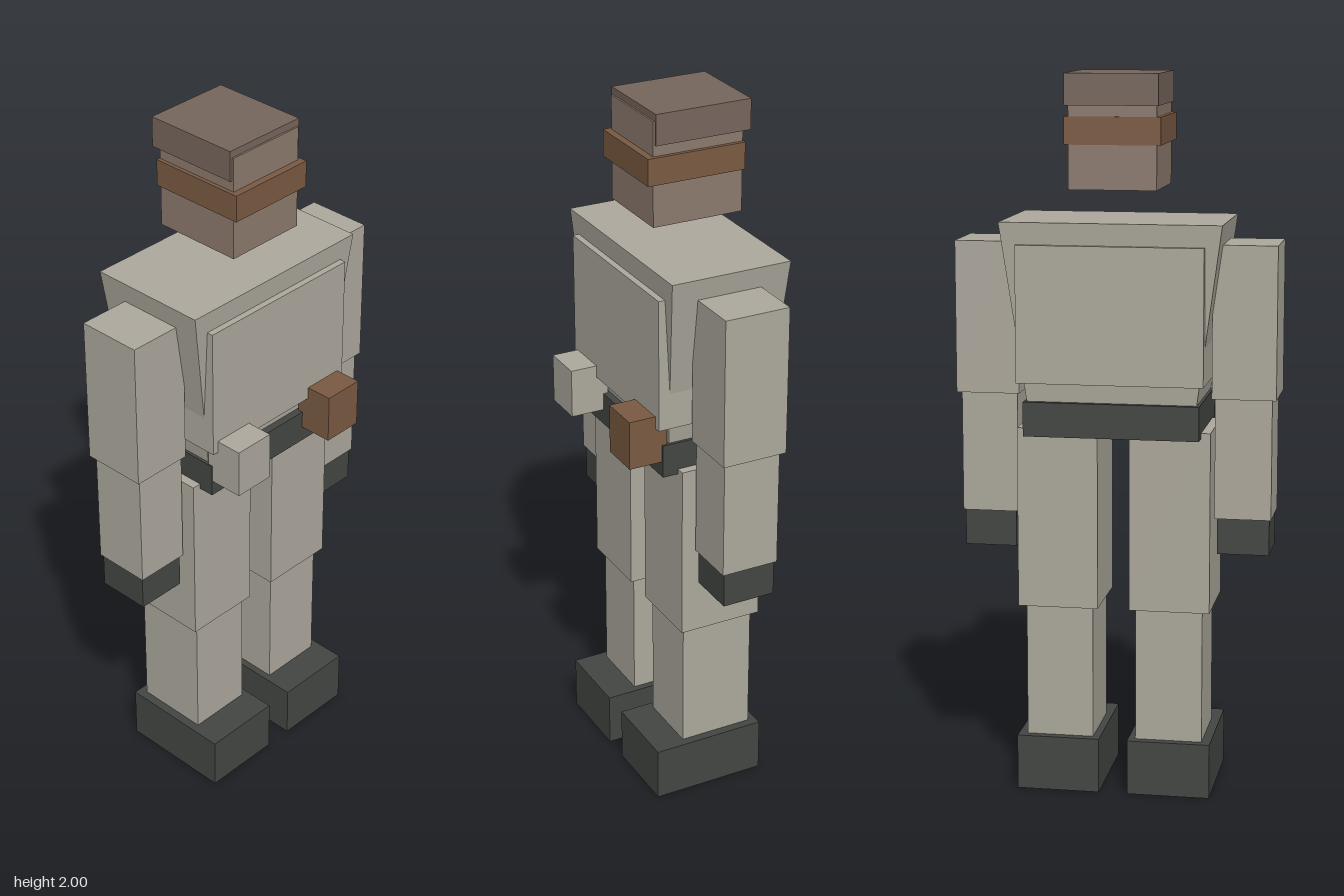
import * as THREE from 'three';

const mat = (color) => new THREE.MeshStandardMaterial({ color, flatShading: true });

export function createModel() {
  const model = new THREE.Group();
  model.name = 'blockSoldier';

  const cloth = mat(0xaca89c);
  const dark = mat(0x434642);
  const skin = mat(0x8c7a6e);
  const cap = mat(0x76665c);
  const leather = mat(0x7a5a42);

  // Box given by its extents on each axis
  function block(name, material, [x0, x1], [y0, y1], [z0, z1], parent = model) {
    const mesh = new THREE.Mesh(new THREE.BoxGeometry(x1 - x0, y1 - y0, z1 - z0), material);
    mesh.position.set((x0 + x1) / 2, (y0 + y1) / 2, (z0 + z1) / 2);
    mesh.name = name;
    parent.add(mesh);
    return mesh;
  }

  // Head, headband and cap, floating above the shoulders
  const head = new THREE.Group();
  head.name = 'head';
  model.add(head);
  block('face', skin, [-0.12, 0.12], [1.69, 1.98], [-0.168, 0.095], head);
  block('headband', leather, [-0.131, 0.131], [1.81, 1.885], [-0.17, 0.115], head);
  block('capTop', cap, [-0.127, 0.127], [1.915, 2], [-0.188, 0.09], head);

  // Torso tapers from wide shoulders to the waist
  const torso = block('torso', cloth, [-0.303, 0.303], [1.06, 1.605], [-0.215, 0.135]);
  const p = torso.geometry.attributes.position;
  for (let i = 0; i < p.count; i++) {
    if (p.getY(i) < 0) p.setXYZ(i, p.getX(i) * 0.745, p.getY(i), p.getZ(i) * 0.83);
  }
  torso.geometry.computeVertexNormals();

  // Vest, belt and belt pouches
  block('vest', cloth, [-0.256, 0.256], [1.17, 1.545], [-0.226, 0.15]);
  block('belt', dark, [-0.242, 0.242], [1.02, 1.115], [-0.204, 0.13]);
  block('rightPouch', cloth, [-0.239, -0.119], [1.065, 1.205], [0.115, 0.227]);
  block('leftPouch', leather, [0.117, 0.236], [1.065, 1.205], [0.115, 0.227]);

  // Limbs, mirrored on both sides
  for (const [side, s] of [['left', 1], ['right', -1]]) {
    const span = (a, b) => (s > 0 ? [a, b] : [-b, -a]);

    const arm = new THREE.Group();
    arm.name = side + 'Arm';
    model.add(arm);
    block(side + 'UpperArm', cloth, span(0.267, 0.443), [1.125, 1.545], [-0.132, 0.056], arm);
    block(side + 'Forearm', cloth, span(0.275, 0.431), [0.79, 1.125], [-0.119, 0.047], arm);
    block(side + 'Glove', dark, span(0.282, 0.426), [0.69, 0.79], [-0.113, 0.041], arm);

    const leg = new THREE.Group();
    leg.name = side + 'Leg';
    model.add(leg);
    block(side + 'Thigh', cloth, span(0.044, 0.268), [0.53, 1.035], [-0.159, 0.085], leg);
    block(side + 'Shin', cloth, span(0.06, 0.247), [0.155, 0.53], [-0.145, 0.069], leg);
    block(side + 'Boot', dark, span(0.04, 0.272), [0, 0.155], [-0.169, 0.162], leg);
  }

  return model;
}
